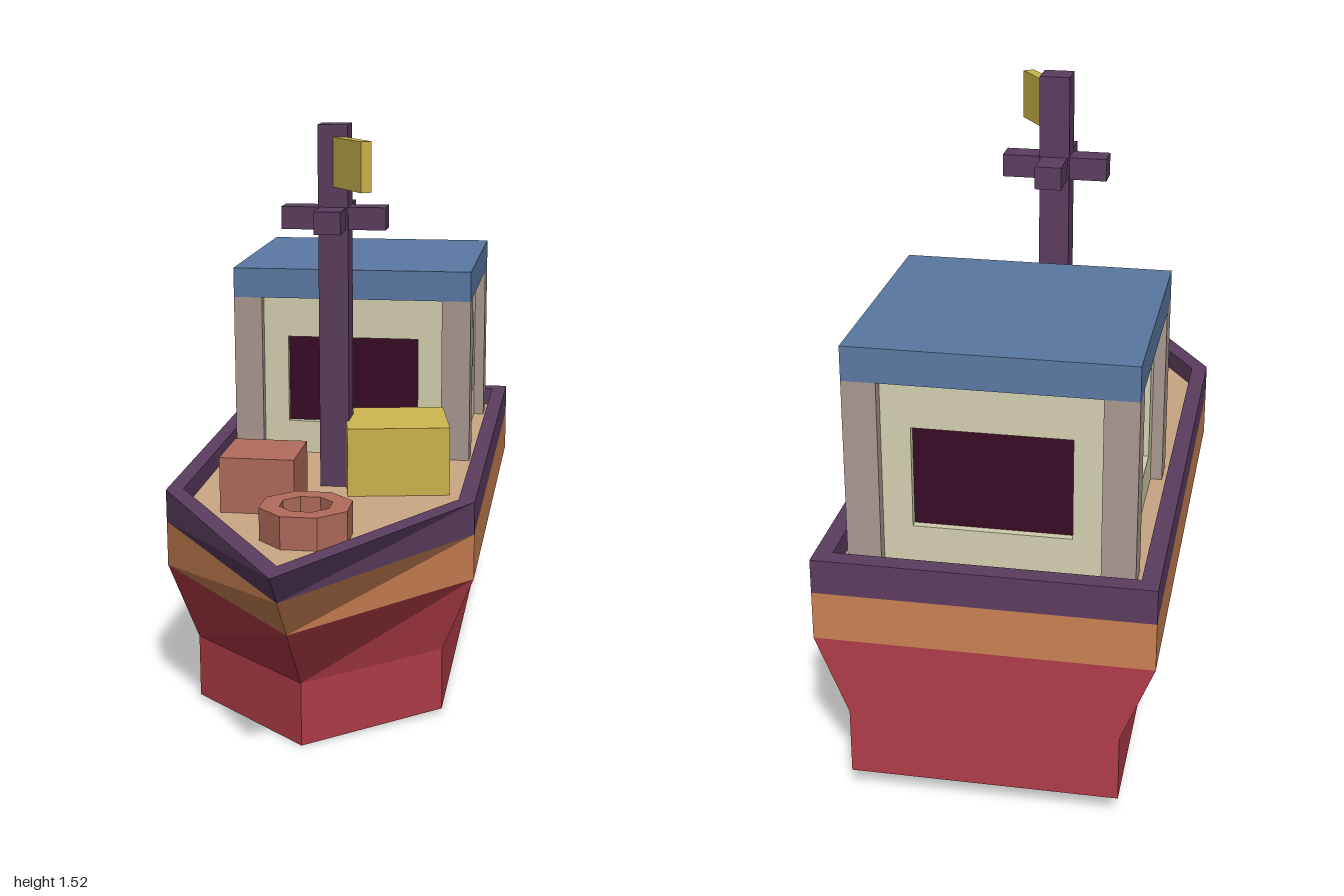
import * as THREE from 'three';

const colour = (name, hex) => {
  const m = new THREE.MeshStandardMaterial({ color: hex });
  m.name = name;
  m.flatShading = true;
  return m;
};

export function createModel() {
  const red = colour('hull red', 0xb03c48);
  const orange = colour('stripe orange', 0xc98052);
  const purple = colour('rail purple', 0x5b3d5f);
  const tan = colour('deck tan', 0xc9a683);
  const cream = colour('wall cream', 0xd2cfae);
  const grey = colour('post grey', 0xa9988f);
  const blue = colour('roof blue', 0x5a78a3);
  const dark = colour('window dark', 0x380c25);
  const clay = colour('cargo clay', 0xb06a5b);
  const yellow = colour('cargo yellow', 0xcdb54d);

  const model = new THREE.Group();
  model.name = 'fishingBoat';
  const boat = new THREE.Group();
  boat.name = 'boat';
  boat.rotation.x = 0.037; // slight trim, bow down
  model.add(boat);

  const add = (name, geometry, material, x = 0, y = 0, z = 0, parent = boat) => {
    const mesh = new THREE.Mesh(geometry, material);
    mesh.name = name;
    mesh.position.set(x, y, z);
    parent.add(mesh);
    return mesh;
  };
  const box = (name, mat, w, h, d, x, y, z, parent) =>
    add(name, new THREE.BoxGeometry(w, h, d), mat, x, y, z, parent);

  // Hull: five-cornered outlines joined by flat strips
  const DECK = 0.54;
  const outline = (y, w, shoulder, bow, stern) => [
    [-w, y, stern], [-w, y, shoulder], [0, y, bow], [w, y, shoulder], [w, y, stern],
  ];
  const level = (y, w) => outline(y, w, 0.333, 0.609 + Math.max(0, y - 0.19) * 0.918, -1);
  const inner = (y) => outline(y, 0.362, 0.315, 0.89, -0.955);
  const loft = (rings, capBottom = false) => {
    const p = [];
    for (let r = 0; r + 1 < rings.length; r++) {
      const a = rings[r], b = rings[r + 1];
      for (let i = 0; i < 5; i++) {
        const j = (i + 1) % 5;
        p.push(...a[i], ...a[j], ...b[j], ...a[i], ...b[j], ...b[i]);
      }
    }
    if (capBottom) cap(rings[0], true, p);
    return toGeometry(p);
  };
  const cap = (ring, down, p = []) => {
    for (let i = 1; i < 4; i++) {
      const [b, c] = down ? [i + 1, i] : [i, i + 1];
      p.push(...ring[0], ...ring[b], ...ring[c]);
    }
    return p;
  };
  const toGeometry = (p) => {
    const g = new THREE.BufferGeometry();
    g.setAttribute('position', new THREE.Float32BufferAttribute(p, 3));
    g.computeVertexNormals();
    return g;
  };
  add('hull', loft([level(0.023, 0.325), level(0.19, 0.325), level(0.386, 0.405)], true), red);
  add('hullStripe', loft([level(0.386, 0.405), level(0.507, 0.405)]), orange);
  add('rail', loft([level(0.507, 0.405), level(0.593, 0.405), inner(0.593), inner(DECK)]), purple);
  add('deck', toGeometry(cap(inner(DECK), false)), tan);

  // Cabin
  const cabin = new THREE.Group();
  cabin.name = 'cabin';
  cabin.position.set(0, DECK, -0.575);
  boat.add(cabin);
  const HX = 0.343, HZ = 0.325, WALL = 0.466, POST = 0.082;
  box('roof', blue, HX * 2, 0.085, HZ * 2, 0, WALL + 0.0425, 0, cabin);
  for (const sx of [-1, 1]) for (const sz of [-1, 1])
    box('cornerPost', grey, POST, WALL, POST, sx * (HX - POST / 2), WALL / 2, sz * (HZ - POST / 2), cabin);

  // Four walls, each with a recessed window
  const wall = (name, half, windowHalf, out, turn) => {
    const side = new THREE.Group();
    side.name = name;
    side.rotation.y = turn;
    cabin.add(side);
    const rect = (Type, w, y0, y1) => {
      const s = new Type();
      s.moveTo(-w, y0);
      s.lineTo(w, y0);
      s.lineTo(w, y1);
      s.lineTo(-w, y1);
      s.closePath();
      return s;
    };
    const shape = rect(THREE.Shape, half, 0, WALL);
    shape.holes.push(rect(THREE.Path, windowHalf, 0.095, 0.348));
    const panel = new THREE.ExtrudeGeometry(shape, { depth: 0.02, bevelEnabled: false });
    add('wallPanel', panel, cream, 0, 0, out - 0.05, side);
    box('window', dark, windowHalf * 2 + 0.02, 0.27, 0.008, 0, 0.2215, out - 0.053, side);
  };
  wall('frontWall', HX - POST, 0.19, HZ, 0);
  wall('backWall', HX - POST, 0.19, HZ, Math.PI);
  wall('leftWall', HZ - POST, 0.18, HX, Math.PI / 2);
  wall('rightWall', HZ - POST, 0.18, HX, -Math.PI / 2);

  // Mast with crossed spars and a flag
  const MZ = 0.023;
  box('mast', purple, 0.08, 1.523 - DECK, 0.08, 0, (1.523 + DECK) / 2, MZ);
  box('crossSpar', purple, 0.28, 0.06, 0.07, 0, 1.277, MZ);
  box('foreAftSpar', purple, 0.07, 0.06, 0.28, 0, 1.277, MZ);
  box('flag', yellow, 0.03, 0.13, 0.195, 0.054, 1.426, 0.116).rotation.y = 0.588;

  // Deck cargo
  box('largeCrate', yellow, 0.275, 0.187, 0.24, 0.163, DECK + 0.0935, 0.011).rotation.y = 0.18;
  box('smallCrate', clay, 0.197, 0.148, 0.197, -0.16, DECK + 0.074, 0.242);

  // Octagonal coil: ring wall around a low centre
  const coil = [[0.12, 0], [0.12, 0.084], [0.068, 0.084], [0.068, 0.02], [0, 0.02]]
    .map(([r, y]) => new THREE.Vector2(r, y));
  add('ropeCoil', new THREE.LatheGeometry(coil, 8, Math.PI / 8), clay, 0, DECK, 0.509);

  return model;
}
